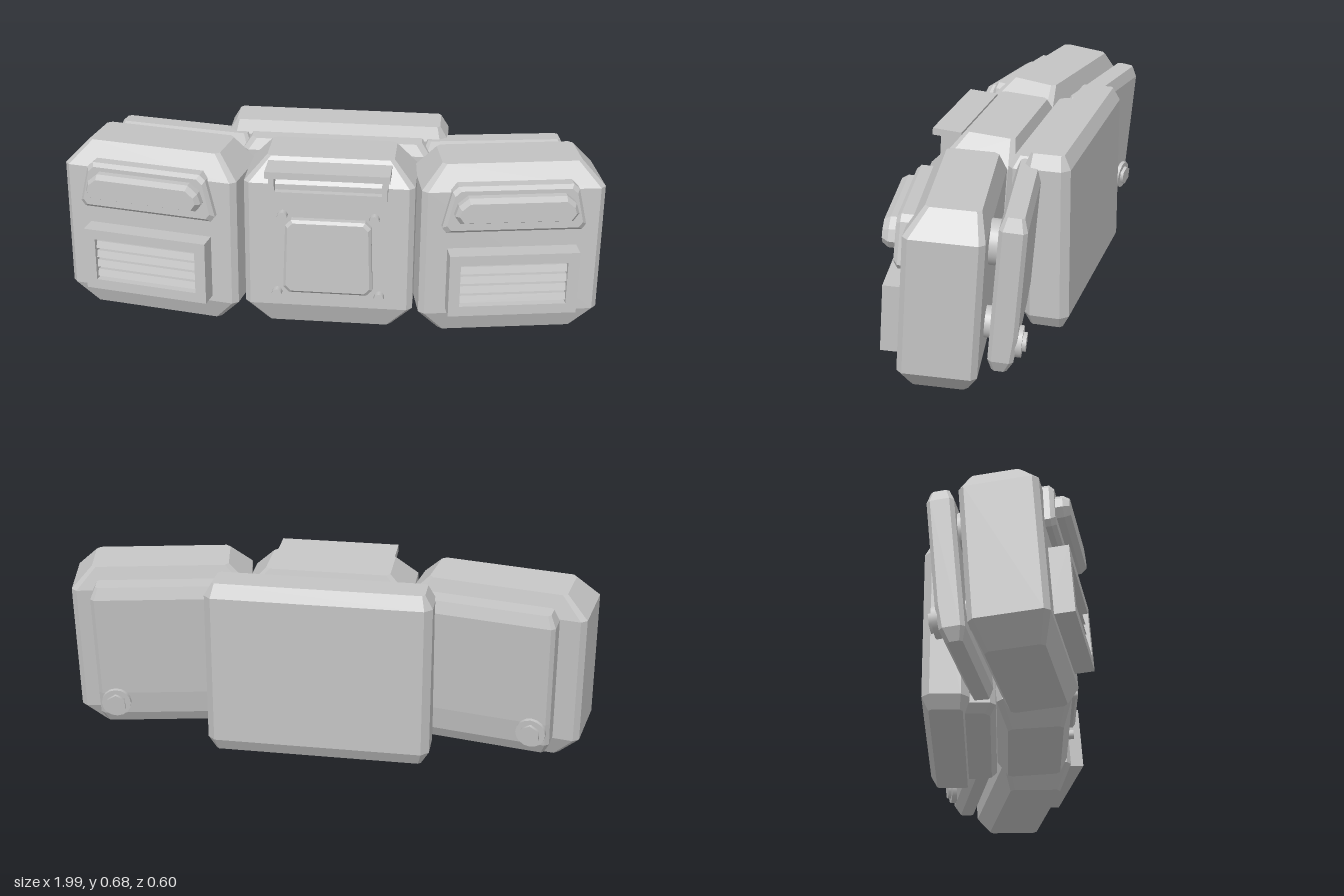
import * as THREE from 'three';
import { ConvexGeometry } from 'three/addons/geometries/ConvexGeometry.js';

const grey = new THREE.MeshStandardMaterial({ color: 0xc4c4c4 });
grey.name = 'light grey';

function add(parent, name, geometry, x = 0, y = 0, z = 0) {
  const mesh = new THREE.Mesh(geometry, grey);
  mesh.name = name;
  mesh.position.set(x, y, z);
  parent.add(mesh);
  return mesh;
}

// Rectangle with cut corners, as [u, v] points
function cutRect(u0, u1, v0, v1, c) {
  return [[u0 + c, v0], [u1 - c, v0], [u1, v0 + c], [u1, v1 - c],
    [u1 - c, v1], [u0 + c, v1], [u0, v1 - c], [u0, v0 + c]];
}

// Faceted block from horizontal rings: [y, halfWidth, back, front, cut]
function ringBlock(rings) {
  return new ConvexGeometry(rings.flatMap(([y, w, b, f, c]) =>
    cutRect(-w, w, b, f, c).map(([x, z]) => new THREE.Vector3(x, y, z))));
}

// Faceted plate from layers: [z, halfWidth, bottom, top, cut]; taper narrows the top
function plate(layers, taper = 0) {
  const lo = layers[0][2], hi = layers[0][3];
  return new ConvexGeometry(layers.flatMap(([z, w, b, t, c]) =>
    cutRect(-w, w, b, t, c).map(([x, y]) =>
      new THREE.Vector3(x * (1 - taper * (y - lo) / (hi - lo)), y, z))));
}

function disc(r, depth, sides) {
  return new THREE.CylinderGeometry(r, r, depth, sides).rotateX(Math.PI / 2);
}

// Chamfered housing shared by the centre and side sections
function housing(w) {
  return ringBlock([
    [-0.33, w - 0.08, -0.1, 0.1, 0.015],
    [-0.245, w, -0.135, 0.135, 0.02],
    [0.245, w, -0.135, 0.135, 0.02],
    [0.33, w - 0.08, -0.11, 0.075, 0.015],
  ]);
}

// Slatted grille with an open rectangular frame
function makeVent() {
  const vent = new THREE.Group();
  vent.name = 'vent';
  const outline = new THREE.Shape();
  outline.moveTo(-0.238, -0.122).lineTo(0.238, -0.122).lineTo(0.238, 0.122).lineTo(-0.238, 0.122);
  const hole = new THREE.Path();
  hole.moveTo(-0.197, -0.083).lineTo(-0.197, 0.083).lineTo(0.197, 0.083).lineTo(0.197, -0.083);
  outline.holes.push(hole);
  add(vent, 'ventFrame', new THREE.ExtrudeGeometry(outline, { depth: 0.09, bevelEnabled: false }), 0, 0, -0.02);
  // Wedge slats, thick at the front
  const wedge = new THREE.Shape();
  wedge.moveTo(0, 0.008).lineTo(0.05, 0.014).lineTo(0.058, -0.012).lineTo(0, -0.004);
  for (let i = 0; i < 4; i++) {
    const slat = new THREE.ExtrudeGeometry(wedge, { depth: 0.394, bevelEnabled: false });
    slat.rotateY(-Math.PI / 2).translate(0.197, 0, 0);
    add(vent, 'ventSlat', slat, 0, -0.062 + i * 0.039, 0);
  }
  return vent;
}

// Angled side section with lamp and vent; s is +1 for left, -1 for right
function makeSide(s) {
  const side = new THREE.Group();
  side.name = s > 0 ? 'leftSection' : 'rightSection';
  side.position.set(0.645 * s, 0, -0.005);
  side.rotation.y = 0.18 * s;
  add(side, 'sideHousing', housing(0.335));
  add(side, 'lampBase', plate([
    [0.06, 0.268, 0.095, 0.275, 0.02],
    [0.155, 0.268, 0.095, 0.275, 0.02],
    [0.17, 0.255, 0.108, 0.262, 0.02],
  ], 0.16), 0, 0, 0);
  add(side, 'lamp', plate([
    [0.1, 0.235, 0.145, 0.248, 0.03],
    [0.195, 0.235, 0.147, 0.246, 0.03],
    [0.217, 0.222, 0.158, 0.232, 0.025],
  ], 0.14));
  const vent = makeVent();
  vent.position.set(0, -0.1, 0.135);
  side.add(vent);
  return side;
}

// Centre section with hood, access panel and bolts
function makeCentre() {
  const centre = new THREE.Group();
  centre.name = 'centreSection';
  centre.position.z = 0.03;
  add(centre, 'centreHousing', housing(0.312));
  add(centre, 'hoodTop', new THREE.BoxGeometry(0.45, 0.026, 0.11), 0, 0.305, 0.145);
  add(centre, 'hoodBottom', new THREE.BoxGeometry(0.43, 0.022, 0.07), 0, 0.213, 0.125);
  for (const s of [-1, 1]) {
    add(centre, 'hoodPost', new THREE.BoxGeometry(0.02, 0.1, 0.09), 0.205 * s, 0.258, 0.125);
    add(centre, 'panelBolt', disc(0.019, 0.035, 8), 0.168 * s, 0.125, 0.145);
    add(centre, 'panelBolt', disc(0.019, 0.035, 8), 0.19 * s, -0.19, 0.145);
  }
  add(centre, 'accessPanel', plate([
    [0.12, 0.166, -0.18, 0.115, 0.022],
    [0.158, 0.166, -0.18, 0.115, 0.022],
    [0.168, 0.156, -0.17, 0.105, 0.02],
  ], 0.06));
  return centre;
}

// Thin rear wing panel with its corner bolt
function makeRearWing(s) {
  const wing = new THREE.Group();
  wing.name = s > 0 ? 'leftRearWing' : 'rightRearWing';
  wing.position.set(0.585 * s, 0.36, -0.158);
  wing.rotation.set(-0.09, 0.17 * s, 0, 'XYZ');
  add(wing, 'wingPanel', ringBlock([
    [-0.285, 0.25, -0.022, 0.03, 0.01],
    [-0.24, 0.27, -0.043, 0.045, 0.014],
    [-0.15, 0.27, -0.05, 0.045, 0.014],
    [0.24, 0.27, -0.05, 0.045, 0.014],
    [0.285, 0.25, -0.035, 0.03, 0.01],
  ]));
  add(wing, 'wingBoltWasher', disc(0.055, 0.03, 16), 0.205 * s, -0.185, -0.05);
  add(wing, 'wingBoltHead', disc(0.038, 0.02, 6), 0.205 * s, -0.185, -0.068);
  // Round spacers between the wing and the side section
  add(wing, 'upperSpacer', disc(0.078, 0.08, 24), 0.16 * s, 0.15, 0.065);
  add(wing, 'lowerSpacer', disc(0.055, 0.08, 24), 0.16 * s, -0.15, 0.065);
  return wing;
}

export function createModel() {
  const model = new THREE.Group();
  model.name = 'instrumentUnit';

  // Front sections lean back slightly
  const front = new THREE.Group();
  front.name = 'frontSections';
  front.position.set(0, 0.35, 0.05);
  front.rotation.x = -0.07;
  front.add(makeCentre(), makeSide(1), makeSide(-1));
  model.add(front);

  // Rear wings, inner spine and large rear panel
  model.add(makeRearWing(1), makeRearWing(-1));
  add(model, 'spine', ringBlock([
    [0.04, 0.32, -0.2, -0.06, 0.02],
    [0.07, 0.35, -0.22, -0.04, 0.02],
    [0.61, 0.35, -0.22, -0.06, 0.02],
    [0.65, 0.32, -0.2, -0.08, 0.02],
  ]));
  add(model, 'rearPanel', ringBlock([
    [0.027, 0.385, -0.275, -0.155, 0.01],
    [0.075, 0.414, -0.3, -0.133, 0.028],
    [0.64, 0.414, -0.3, -0.133, 0.028],
    [0.69, 0.385, -0.275, -0.155, 0.01],
  ]));
  return model;
}
